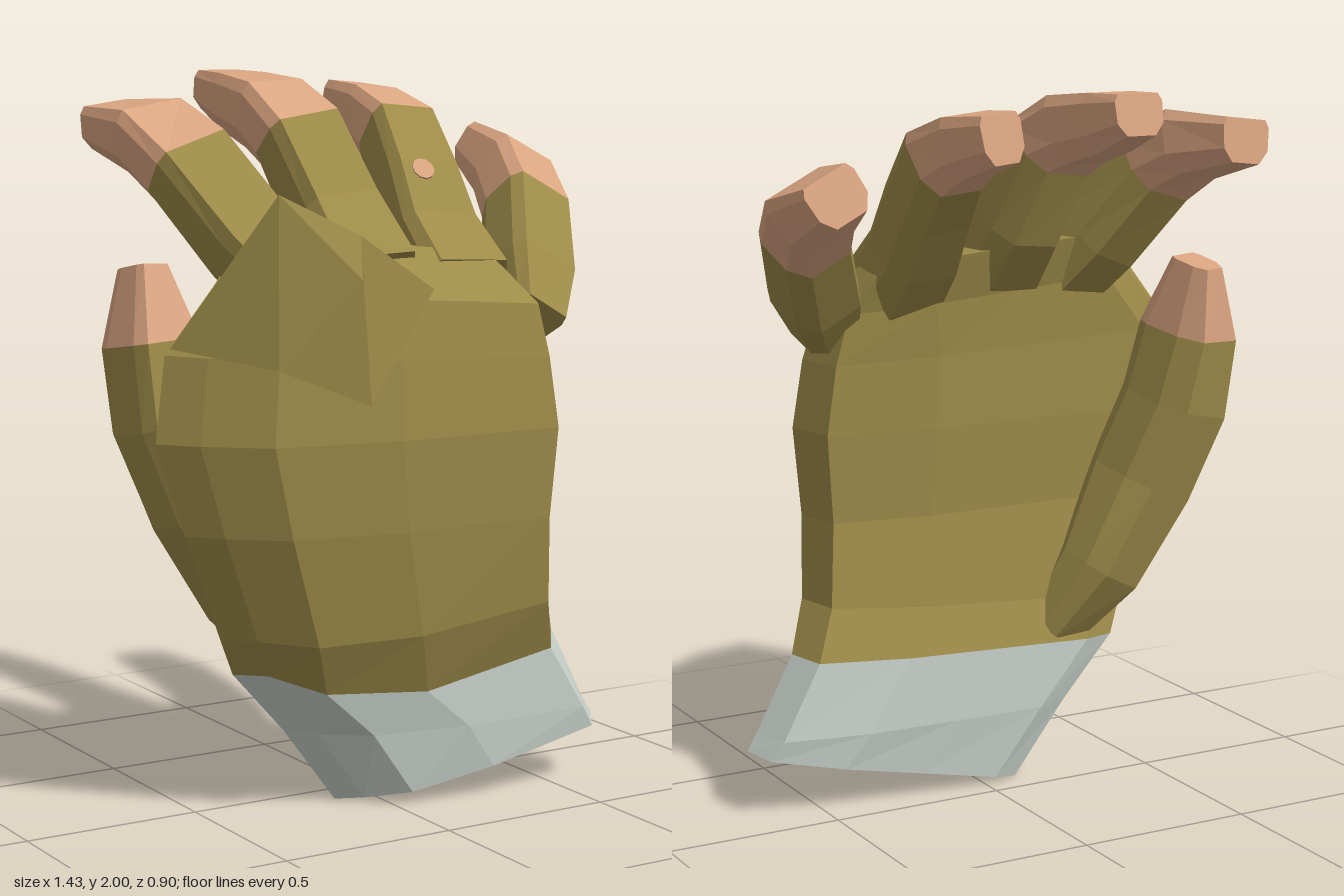
import * as THREE from 'three';

const glove = new THREE.MeshStandardMaterial({ color: 0x9e8b49 });
glove.name = 'olive glove';
const skin = new THREE.MeshStandardMaterial({ color: 0xdaa581 });
skin.name = 'skin';
const cuffGrey = new THREE.MeshStandardMaterial({ color: 0xc9d1cb, side: THREE.DoubleSide });
cuffGrey.name = 'pale cuff';

const V = (x, y, z) => new THREE.Vector3(x, y, z);

// Faceted mesh from a list of triangle corners
function facets(name, points, material) {
  const geometry = new THREE.BufferGeometry().setFromPoints(points);
  geometry.computeVertexNormals();
  const mesh = new THREE.Mesh(geometry, material);
  mesh.name = name;
  return mesh;
}

// Skin a run of equal-sized rings, optionally closing either end
function loft(name, rings, material, capStart, capEnd) {
  const tris = [];
  const n = rings[0].length;
  for (let i = 0; i < rings.length - 1; i++) {
    for (let j = 0; j < n; j++) {
      const k = (j + 1) % n;
      const [a, b, c, d] = [rings[i][j], rings[i][k], rings[i + 1][k], rings[i + 1][j]];
      tris.push(a, b, c, a, c, d);
    }
  }
  const cap = (ring, flip) => {
    const mid = ring.reduce((s, p) => s.add(p), V(0, 0, 0)).divideScalar(n);
    ring.forEach((p, j) => {
      const q = ring[(j + 1) % n];
      tris.push(mid, ...(flip ? [q, p] : [p, q]));
    });
  };
  if (capStart) cap(rings[0], true);
  if (capEnd) cap(rings[rings.length - 1], false);
  return facets(name, tris, material);
}

// Digit section: broad flat back (v = -1), bevelled pad (v = 1)
const SECTION = [[1, -0.65], [0.97, 0.4], [0.6, 1], [-0.6, 1],
  [-0.97, 0.4], [-1, -0.65], [-0.84, -1], [0.84, -1]];

// joints: [x, y, z, half width, half thickness]; bare = ring where the skin starts
function digit(name, joints, across, bare) {
  const centres = joints.map(([x, y, z]) => V(x, y, z));
  const last = joints.length - 1;
  const rings = joints.map(([, , , hw, ht], i) => {
    const t = centres[Math.min(i + 1, last)].clone().sub(centres[Math.max(i - 1, 0)]).normalize();
    const w = V(...across).addScaledVector(t, -V(...across).dot(t)).normalize();
    const e = t.clone().cross(w);
    return SECTION.map(([u, v]) => centres[i].clone().addScaledVector(w, u * hw).addScaledVector(e, v * ht));
  });
  const group = new THREE.Group();
  group.name = name;
  group.add(
    loft(name + 'Sleeve', rings.slice(0, bare + 1), glove, true, false),
    loft(name + 'Tip', rings.slice(bare), skin, false, true)
  );
  return group;
}

// Hand outline, as fractions across the width (u) and from back to front (v)
const OUTLINE = [[0, 0.12], [0.07, 0.4], [0.2, 0.77], [0.5, 0.97], [0.92, 1], [1, 0.6],
  [0.97, 0.15], [0.7, 0], [0.4, 0], [0.1, 0]];

function handRing([yL, yR, xL, xR, zB, zF, sag = 0]) {
  return OUTLINE.map(([u, v]) => V(
    xL + (xR - xL) * u,
    yL + (yR - yL) * u - (v > 0.5 ? sag * 4 * u * (1 - u) : 0),
    zB + (zF - zB) * v
  ));
}

export function createModel() {
  const model = new THREE.Group();
  model.name = 'glovedHand';

  // Open cuff and palm: [y left, y right, x left, x right, z back, z front, front sag]
  const rings = [
    [0.0, 0.17, -0.11, 0.68, 0.06, 0.3],
    [0.21, 0.22, -0.26, 0.65, 0.04, 0.31],
    [0.39, 0.43, -0.42, 0.54, 0.04, 0.31, 0.08],
    [0.5, 0.57, -0.48, 0.48, 0.08, 0.38, 0.03],
    [0.8, 0.8, -0.6, 0.46, 0.11, 0.42],
    [1.05, 1.05, -0.68, 0.48, 0.1, 0.44],
    [1.28, 1.24, -0.65, 0.45, 0.1, 0.43],
    [1.45, 1.38, -0.5, 0.41, 0.09, 0.41],
    [1.57, 1.52, -0.38, 0.32, 0.05, 0.26],
  ].map(handRing);
  model.add(
    loft('cuff', rings.slice(0, 3), cuffGrey, false, true),
    loft('palm', rings.slice(2), glove, false, true)
  );

  // Fingers and thumb
  model.add(
    digit('indexFinger', [
      [-0.31, 1.42, 0.22, 0.11, 0.11], [-0.39, 1.56, 0.1, 0.115, 0.11],
      [-0.49, 1.755, -0.04, 0.12, 0.1], [-0.52, 1.83, -0.18, 0.115, 0.09],
      [-0.555, 1.855, -0.38, 0.083, 0.06],
    ], [1, 0.1, 0], 2),
    digit('middleFinger', [
      [-0.1, 1.45, 0.22, 0.13, 0.12], [-0.11, 1.62, 0.07, 0.115, 0.11],
      [-0.155, 1.825, -0.04, 0.115, 0.1], [-0.17, 1.885, -0.15, 0.105, 0.095],
      [-0.18, 1.915, -0.3, 0.088, 0.08], [-0.18, 1.945, -0.44, 0.072, 0.055],
    ], [1, 0, 0], 2),
    digit('ringFinger', [
      [0.2, 1.42, 0.22, 0.13, 0.11], [0.2, 1.55, 0.08, 0.12, 0.1],
      [0.215, 1.69, -0.03, 0.11, 0.1], [0.23, 1.82, -0.15, 0.1, 0.1],
      [0.23, 1.87, -0.28, 0.085, 0.085], [0.22, 1.9, -0.43, 0.062, 0.065],
    ], [1, -0.1, 0], 3),
    digit('littleFinger', [
      [0.38, 1.32, 0.29, 0.08, 0.09], [0.46, 1.44, 0.17, 0.11, 0.105],
      [0.56, 1.615, 0.01, 0.105, 0.1], [0.605, 1.7, -0.12, 0.105, 0.095],
      [0.62, 1.76, -0.3, 0.08, 0.065],
    ], [0.87, -0.45, 0], 2),
    digit('thumb', [
      [-0.25, 0.42, 0.11, 0.08, 0.06], [-0.37, 0.6, 0.04, 0.115, 0.09],
      [-0.495, 0.85, 0.02, 0.13, 0.12], [-0.575, 1.08, -0.03, 0.125, 0.125],
      [-0.605, 1.29, -0.05, 0.1, 0.125], [-0.6, 1.49, -0.09, 0.045, 0.07],
    ], [1, 0, -0.15], 4)
  );

  // Pointed fold standing up over the index knuckle
  const side = V(-0.65, 1.3, 0.17), peak = V(-0.44, 1.7, 0.37), ridge = V(-0.22, 1.59, 0.41);
  const low = V(-0.2, 1.15, 0.43), inner = V(0.01, 1.44, 0.4), behind = V(-0.25, 1.48, 0.24);
  const bulge = V(-0.24, 1.48, 0.45), foot = V(-0.44, 1.25, 0.37);
  model.add(facets('knuckleFold', [
    side, foot, peak, foot, bulge, peak, foot, low, bulge, peak, bulge, ridge,
    low, ridge, bulge, low, inner, ridge,
    peak, behind, side, ridge, behind, peak, inner, behind, ridge,
  ], glove));

  // Round hole on the ring finger showing skin
  const hole = new THREE.Mesh(new THREE.CylinderGeometry(0.033, 0.033, 0.009, 10), skin);
  hole.name = 'gloveHole';
  hole.position.set(0.187, 1.733, 0.069);
  hole.quaternion.setFromUnitVectors(V(0, 1, 0), V(-0.05, 0.615, 0.79).normalize());
  model.add(hole);

  return model;
}
